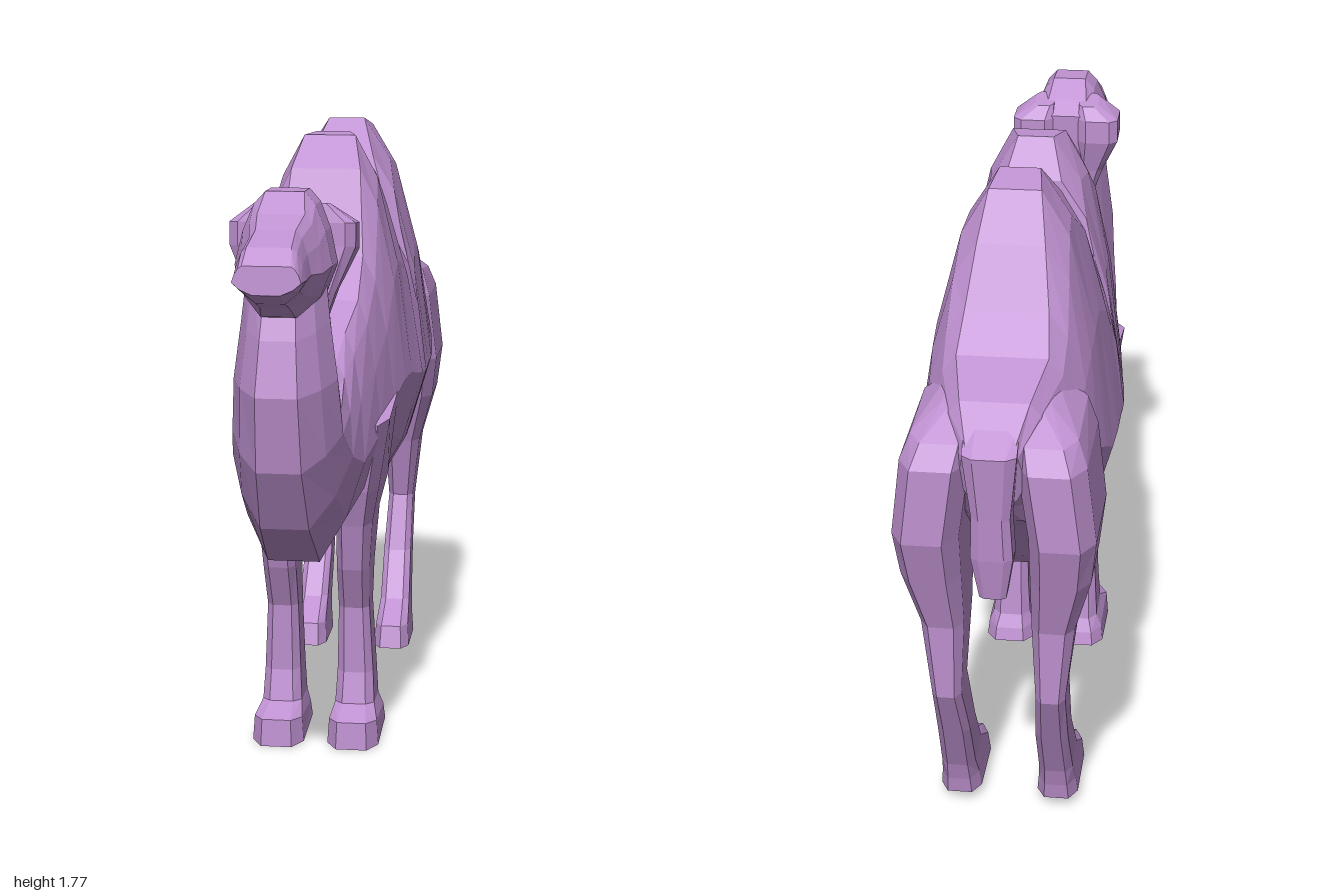
import * as THREE from 'three';

const hide = new THREE.MeshStandardMaterial({ color: 0xc092d2 });
hide.name = 'lilac hide';

// Faceted skin over a row of rings with equal point counts, closed at both ends
function loft(name, rings) {
  const n = rings[0].length, pos = [];
  let volume = 0;
  const tris = [];
  const tri = (a, b, c) => {
    tris.push([a, b, c]);
    volume += a.dot(b.clone().cross(c));
  };
  for (let i = 0; i < rings.length - 1; i++) {
    for (let j = 0; j < n; j++) {
      const k = (j + 1) % n, r = rings[i], s = rings[i + 1];
      tri(r[j], r[k], s[k]);
      tri(r[j], s[k], s[j]);
    }
  }
  const centre = (r) => r.reduce((a, p) => a.add(p), new THREE.Vector3()).divideScalar(n);
  const first = rings[0], last = rings[rings.length - 1];
  const c0 = centre(first), c1 = centre(last);
  for (let j = 0; j < n; j++) {
    const k = (j + 1) % n;
    tri(c0, first[k], first[j]);
    tri(c1, last[j], last[k]);
  }
  for (const [a, b, c] of tris) {
    for (const p of volume > 0 ? [a, b, c] : [a, c, b]) pos.push(p.x, p.y, p.z);
  }
  const geo = new THREE.BufferGeometry();
  geo.setAttribute('position', new THREE.Float32BufferAttribute(pos, 3));
  geo.computeVertexNormals();
  const mesh = new THREE.Mesh(geo, hide);
  mesh.name = name;
  return mesh;
}

// Upright ring between a top and a bottom point; w = half width, tw = half width
// at the top, mid = how far down the ring is widest
function spineRing([xT, yT, xB, yB, w, tw, mid = 0.57]) {
  const half = [
    [0, tw], [mid * 0.17, tw + (w - tw) * 0.38], [mid * 0.53, tw + (w - tw) * 0.74],
    [mid, w], [mid + (1 - mid) * 0.55, w * 0.77], [1, w * 0.4],
  ];
  const at = ([t, z], side) =>
    new THREE.Vector3(xT + (xB - xT) * t, yT + (yB - yT) * t, z * side);
  return [...half.map((h) => at(h, 1)), ...half.reverse().map((h) => at(h, -1))];
}

// Level eight-sided ring from front to back and from inner to outer side
function limbRing([yF, xF, yB, xB, zIn, zOut], side) {
  const outline = [[0, 0.2], [0, 0.8], [0.16, 1], [0.84, 1], [1, 0.8], [1, 0.2], [0.84, 0], [0.16, 0]];
  return outline.map(([t, s]) => new THREE.Vector3(
    xF + (xB - xF) * t, yF + (yB - yF) * t, (zIn + (zOut - zIn) * s) * side));
}

export function createModel() {
  const animal = new THREE.Group();
  animal.name = 'twoHumpedCamel';

  // Neck, trunk and both humps
  animal.add(loft('neckAndBody', [
    [0.72, 1.56, 1.0, 1.42, 0.1, 0.06],
    [0.7, 1.38, 1.04, 1.31, 0.115, 0.06],
    [0.67, 1.22, 1.07, 1.17, 0.135, 0.06],
    [0.65, 1.14, 1.03, 0.97, 0.145, 0.08],
    [0.57, 1.18, 0.93, 0.8, 0.16, 0.09],
    [0.45, 1.24, 0.76, 0.67, 0.175, 0.1],
    [0.31, 1.31, 0.45, 0.67, 0.195, 0.12],
    [0.19, 1.42, 0.2, 0.69, 0.215, 0.12],
    [0.085, 1.66, 0.06, 0.7, 0.235, 0.1, 0.64],
    [-0.015, 1.75, -0.03, 0.69, 0.245, 0.075, 0.66],
    [-0.1, 1.755, -0.11, 0.66, 0.255, 0.05, 0.66],
    [-0.17, 1.65, -0.18, 0.64, 0.265, 0.08, 0.62],
    [-0.185, 1.52, -0.2, 0.64, 0.265, 0.12, 0.57],
    [-0.245, 1.41, -0.25, 0.63, 0.27, 0.18, 0.5],
    [-0.275, 1.55, -0.3, 0.63, 0.27, 0.13, 0.58],
    [-0.31, 1.67, -0.34, 0.63, 0.27, 0.095, 0.62],
    [-0.44, 1.775, -0.45, 0.64, 0.27, 0.055, 0.66],
    [-0.55, 1.75, -0.55, 0.65, 0.265, 0.07, 0.66],
    [-0.64, 1.63, -0.64, 0.72, 0.255, 0.09, 0.62],
    [-0.73, 1.48, -0.73, 0.82, 0.24, 0.11],
    [-0.82, 1.39, -0.81, 0.9, 0.215, 0.12],
    [-0.97, 1.33, -0.93, 0.98, 0.16, 0.09],
    [-1.07, 1.24, -1.0, 1.05, 0.085, 0.06],
  ].map(spineRing)));

  // Head from muzzle to nape
  animal.add(loft('head', [
    [1.215, 1.52, 1.22, 1.45, 0.085, 0.06],
    [1.17, 1.56, 1.15, 1.42, 0.09, 0.055],
    [1.06, 1.59, 1.08, 1.4, 0.09, 0.05],
    [0.97, 1.62, 1.03, 1.37, 0.11, 0.06],
    [0.9, 1.67, 0.95, 1.35, 0.125, 0.05],
    [0.8, 1.67, 0.83, 1.34, 0.125, 0.05],
    [0.73, 1.62, 0.73, 1.33, 0.11, 0.06],
    [0.68, 1.58, 0.69, 1.38, 0.085, 0.05],
  ].map(spineRing)));

  // Tail with a fuller tuft
  animal.add(loft('tail', [
    [1.32, -0.92, 1.29, -1.01, -0.07, 0.07],
    [1.24, -0.98, 1.23, -1.1, -0.07, 0.07],
    [1.05, -0.99, 1.05, -1.08, -0.05, 0.05],
    [0.93, -0.98, 0.93, -1.07, -0.055, 0.055],
    [0.81, -0.99, 0.81, -1.05, -0.035, 0.035],
  ].map((r) => limbRing(r, 1))));

  for (const side of [1, -1]) {
    const label = side < 0 ? 'left' : 'right';
    const limb = (name, rows) =>
      animal.add(loft(label + name, rows.map((r) => limbRing(r, side))));

    // Ear, tapering down into the cheek
    limb('Ear', [
      [1.63, 0.78, 1.61, 0.69, 0.04, 0.1],
      [1.58, 0.79, 1.57, 0.66, 0.04, 0.165],
      [1.52, 0.79, 1.5, 0.66, 0.04, 0.165],
      [1.4, 0.8, 1.4, 0.69, 0.04, 0.115],
      [1.3, 0.8, 1.3, 0.71, 0.03, 0.08],
    ]);

    // Foreleg with a ledged shoulder, knee and broad foot
    limb('FrontLeg', [
      [0.98, 0.45, 1.04, 0.06, 0.08, 0.22],
      [0.78, 0.41, 0.76, 0.01, 0.06, 0.185],
      [0.67, 0.37, 0.68, 0.07, 0.06, 0.165],
      [0.53, 0.33, 0.52, 0.13, 0.06, 0.155],
      [0.4, 0.27, 0.4, 0.13, 0.06, 0.15],
      [0.2, 0.26, 0.2, 0.11, 0.055, 0.16],
      [0.11, 0.28, 0.1, 0.1, 0.05, 0.165],
      [0.08, 0.365, 0.06, 0.08, 0.04, 0.18],
      [0, 0.37, 0.02, 0.07, 0.035, 0.185],
    ]);

    // Hind leg with a heavy thigh, hock and forward foot
    limb('HindLeg', [
      [1.34, -0.78, 1.3, -0.95, 0.05, 0.14],
      [1.27, -0.7, 1.24, -1.04, 0.05, 0.215],
      [1.18, -0.66, 1.18, -1.08, 0.06, 0.24],
      [0.97, -0.67, 0.97, -1.08, 0.09, 0.265],
      [0.84, -0.71, 0.84, -1.04, 0.09, 0.25],
      [0.68, -0.77, 0.68, -0.99, 0.09, 0.205],
      [0.48, -0.83, 0.46, -0.98, 0.1, 0.18],
      [0.3, -0.77, 0.3, -0.9, 0.09, 0.18],
      [0.16, -0.66, 0.14, -0.82, 0.09, 0.185],
      [0.1, -0.54, 0.08, -0.8, 0.085, 0.19],
      [0.03, -0.52, 0.03, -0.79, 0.08, 0.195],
    ]);
  }

  // Turn the animal diagonally
  for (const part of animal.children) part.position.z = -0.02;
  animal.rotation.y = Math.PI + 0.664;
  const model = new THREE.Group();
  model.name = 'camel';
  model.add(animal);
  return model;
}
